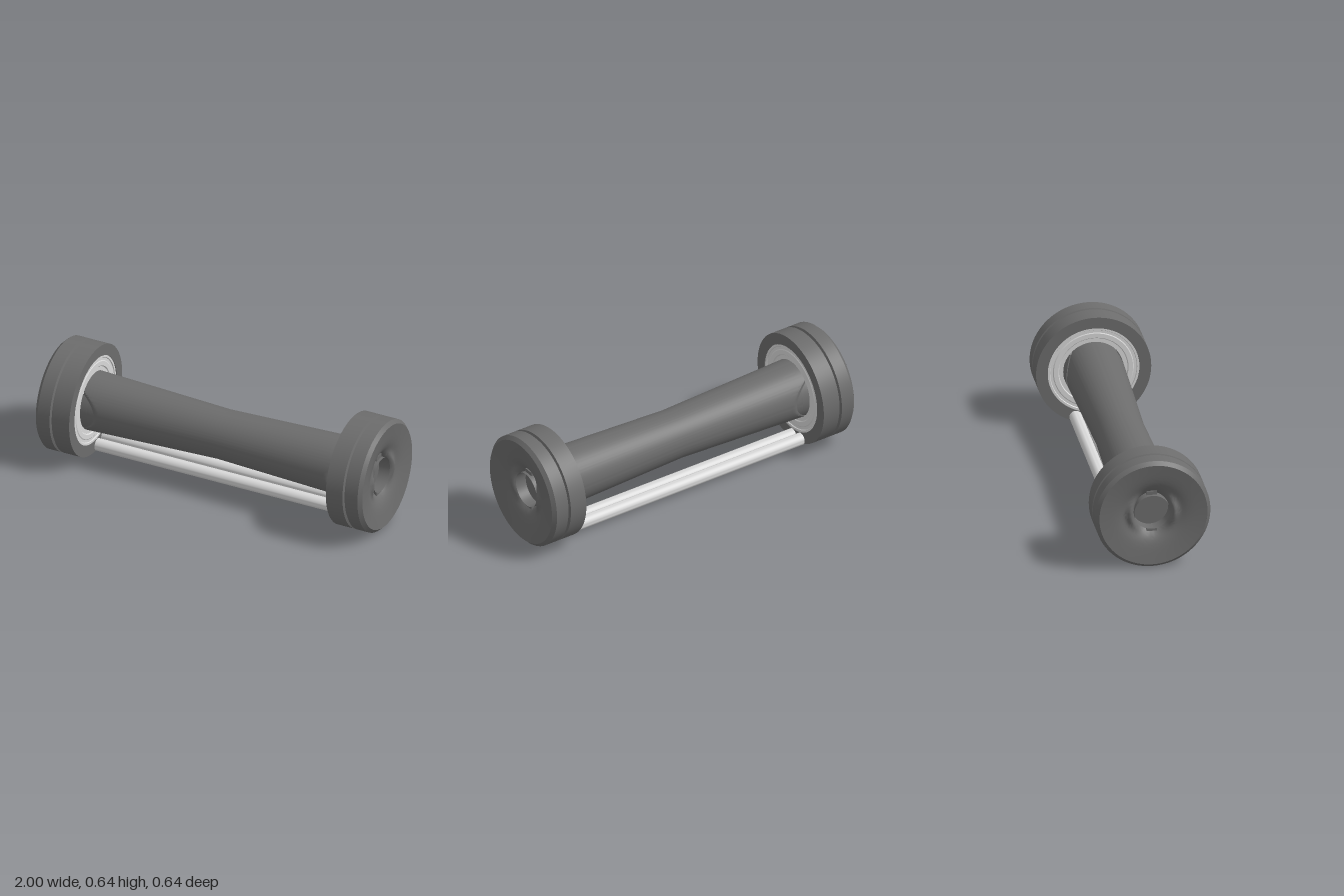
import * as THREE from 'three';
import { toCreasedNormals } from 'three/addons/utils/BufferGeometryUtils.js';

const AXIS_Y = 0.325;
const dark = new THREE.MeshStandardMaterial({ color: 0x6c6c6c, side: THREE.DoubleSide });
dark.name = 'dark grey';
const light = new THREE.MeshStandardMaterial({ color: 0xd8d8d8, side: THREE.DoubleSide });
light.name = 'light grey';

function mesh(name, geometry, material, crease = 0.5) {
  const m = new THREE.Mesh(toCreasedNormals(geometry, crease), material);
  m.name = name;
  return m;
}

// Solid of revolution around x; profile entries are [x, radius]
function turned(profile, segments = 64) {
  const points = profile.map(([x, r]) => new THREE.Vector2(r, x));
  return new THREE.LatheGeometry(points, segments).rotateZ(-Math.PI / 2);
}

function reshape(geometry, rule) {
  const p = geometry.attributes.position;
  const v = new THREE.Vector3();
  for (let i = 0; i < p.count; i++) {
    rule(v.fromBufferAttribute(p, i));
    p.setXYZ(i, v.x, v.y, v.z);
  }
  geometry.computeVertexNormals();
  return geometry;
}

const bodyRadius = (x) => 0.14 + 0.034 * Math.abs(x);
// Slanted plane of the slit cut into each side of the body near its ends
const slitZ = (x) => 0.164 - Math.max(0, Math.abs(x) - 0.7) * 0.45;

// Waisted tube with its sides sliced flat along the slit planes
function makeBody() {
  const profile = [];
  for (let i = -12; i <= 0; i++) profile.push([-0.69 + i * 0.01, bodyRadius(0.69 - i * 0.01)]);
  profile.push([0, bodyRadius(0)]);
  for (let i = 0; i <= 12; i++) profile.push([0.69 + i * 0.01, bodyRadius(0.69 + i * 0.01)]);
  const geometry = reshape(turned(profile, 128), (v) => {
    if (Math.abs(v.x) > 0.7) v.z = THREE.MathUtils.clamp(v.z, -slitZ(v.x), slitZ(v.x));
  });
  return mesh('body', geometry, dark);
}

// Sliver left outside the slit: curved front and flat back
function makeFlap(side) {
  const flap = new THREE.Group();
  flap.name = 'sideFlap';
  for (const curved of [true, false]) {
    const geometry = reshape(new THREE.PlaneGeometry(1, 1, 16, 16), (v) => {
      const x = 0.715 + (v.x + 0.5) * 0.085;
      const r = bodyRadius(x);
      const z = Math.min(r, slitZ(x) + 0.007);
      const a = Math.acos(z / r) * v.y * 2;
      v.set(x, r * Math.sin(a), side * (curved ? r * Math.cos(a) : z));
    });
    flap.add(mesh(curved ? 'flapOuter' : 'flapInner', geometry, dark));
  }
  return flap;
}

// Horn-shaped outer face with raised lips on both sides of the throat
function makeDish() {
  const profile = [];
  const steps = 24;
  for (let i = 0; i <= steps; i++) {
    const r = 0.3 - (0.2 * i) / steps;
    const t = (0.3 - r) / 0.2;
    profile.push([1 - 0.03 * t - 0.055 * t ** 5, r]);
  }
  return reshape(turned(profile, 96), (v) => {
    const r = Math.hypot(v.y, v.z);
    const lip = Math.exp(-(((r - 0.115) / 0.025) ** 2));
    v.x += 0.045 * lip * Math.abs(v.z / r) ** 3;
  });
}

function makeEnd() {
  const end = new THREE.Group();
  end.name = 'endCap';
  // Rim with a recessed inner face, a groove and a bevelled outer edge
  end.add(mesh('rim', turned([
    [0.8, 0.15], [0.8, 0.255], [0.786, 0.255], [0.786, 0.32], [0.888, 0.32],
    [0.894, 0.306], [0.9, 0.306], [0.906, 0.32], [0.98, 0.32], [1, 0.3],
  ], 72), dark));
  end.add(mesh('dish', makeDish(), dark, 1));

  // Throat wall, floor and the two locking tabs
  end.add(mesh('throat', turned([[0.965, 0.1], [0.9, 0.1], [0.9, 0]], 48), dark));
  for (const s of [-1, 1]) {
    const tab = mesh('throatTab', new THREE.BoxGeometry(0.05, 0.021, 0.058), dark);
    tab.position.set(0.925, s * 0.11, 0);
    end.add(tab);
  }

  // Stepped light rings on the inner face
  end.add(mesh('innerRing', turned([
    [0.797, 0.16], [0.797, 0.19], [0.792, 0.195], [0.792, 0.22],
    [0.795, 0.225], [0.795, 0.24], [0.79, 0.243], [0.79, 0.255],
  ]), light));

  for (const s of [-1, 1]) end.add(makeFlap(s));
  return end;
}

export function createModel() {
  const model = new THREE.Group();
  model.name = 'spool';
  const core = new THREE.Group();
  core.name = 'core';
  core.position.y = AXIS_Y;
  model.add(core);
  core.add(makeBody());

  // Matching ends
  for (const turn of [0, Math.PI]) {
    const end = makeEnd();
    end.rotation.y = turn;
    core.add(end);
  }

  // Pair of rods joining the ends along the bottom
  for (const [y, z] of [[0.036, -0.02], [0.051, -0.1]]) {
    const rod = mesh('rod', new THREE.CylinderGeometry(0.035, 0.035, 1.58, 32).rotateZ(Math.PI / 2), light);
    rod.position.set(0, y, z);
    model.add(rod);
  }
  return model;
}
